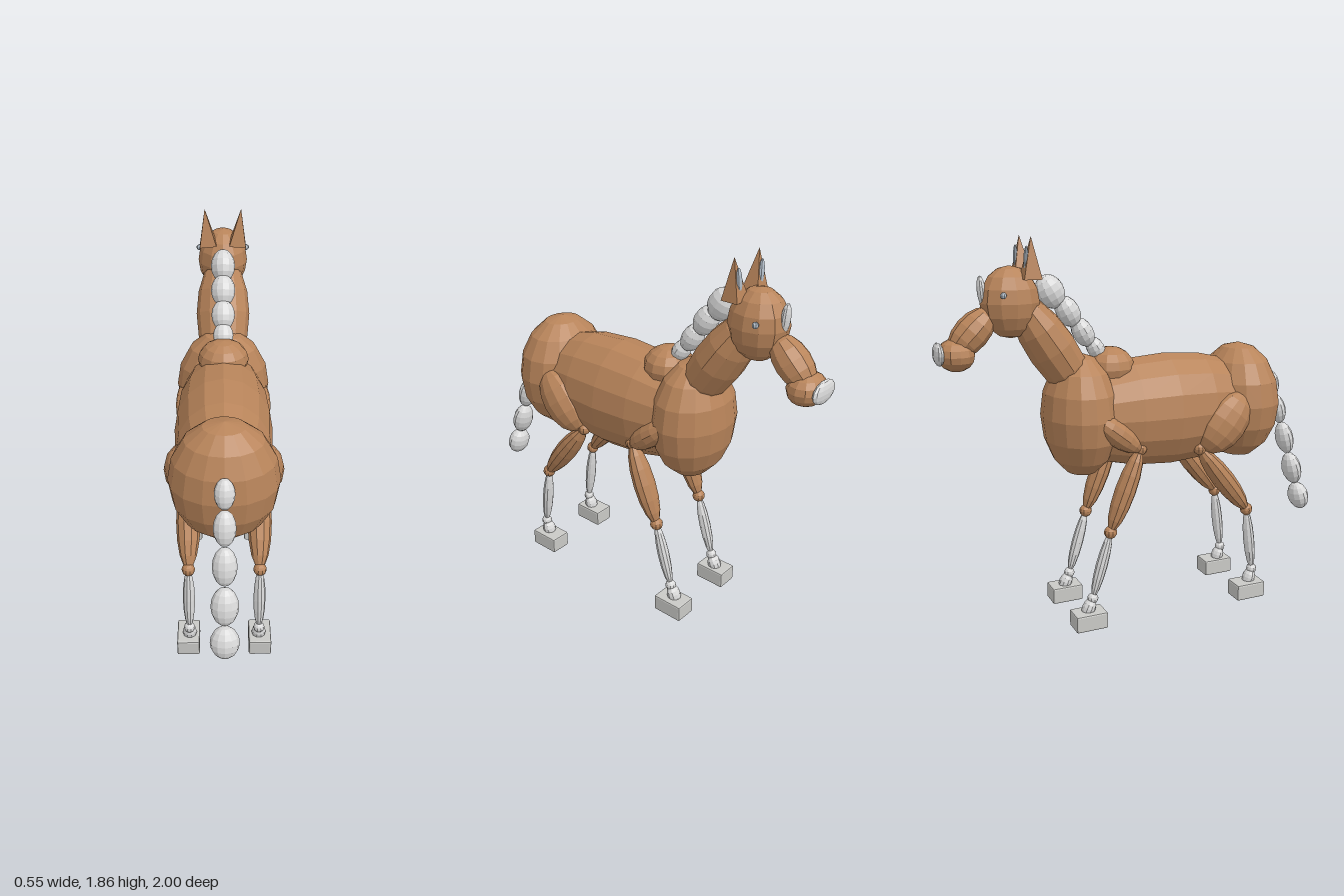
import * as THREE from 'three';
import { RoundedBoxGeometry } from 'three/addons/geometries/RoundedBoxGeometry.js';

const flat = (name, color) => {
  const m = new THREE.MeshStandardMaterial({ color, flatShading: true });
  m.name = name;
  return m;
};

export function createModel() {
  const coat = flat('coat brown', 0xb8845a);
  const hair = flat('pale hair', 0xd9d9d9);
  const hoofGrey = flat('hoof grey', 0xc9c9c6);
  const accent = flat('blue grey', 0xb4bfca);
  const horse = new THREE.Group();
  horse.name = 'horse';

  // Faceted ellipsoid: centre, radii, tilt about x
  function ellipsoid(name, mat, c, r, tilt = 0, w = 12, h = 8, parent = horse) {
    const mesh = new THREE.Mesh(new THREE.SphereGeometry(1, w, h), mat);
    mesh.name = name;
    mesh.position.set(...c);
    mesh.scale.set(...r);
    mesh.rotation.x = tilt;
    parent.add(mesh);
    return mesh;
  }

  // Ellipsoid stretched between two [y, z] points in the plane at x
  function segment(name, mat, x, a, b, rx, rz, parent = horse, w = 10) {
    const dy = b[0] - a[0], dz = b[1] - a[1];
    return ellipsoid(name, mat, [x, (a[0] + b[0]) / 2, (a[1] + b[1]) / 2],
      [rx, Math.hypot(dy, dz) / 2, rz], Math.atan2(dz, dy), w, 8, parent);
  }

  // Torso
  ellipsoid('barrel', coat, [0, 1.01, 0.12], [0.235, 0.62, 0.28], Math.PI / 2, 16, 10);
  ellipsoid('rump', coat, [0, 1.02, 0.54], [0.25, 0.298, 0.203], 0, 16);
  ellipsoid('chest', coat, [0, 1.02, -0.32], [0.235, 0.3, 0.185], 0, 16);
  ellipsoid('withers', coat, [0, 1.24, -0.165], [0.125, 0.1, 0.12]);

  // Neck and head
  segment('neck', coat, 0, [1.1, -0.29], [1.6, -0.62], 0.135, 0.115, horse, 12);
  ellipsoid('head', coat, [0, 1.57, -0.645], [0.125, 0.163, 0.139]);
  segment('muzzle', coat, 0, [1.54, -0.73], [1.345, -0.92], 0.087, 0.078);
  ellipsoid('nose', coat, [0, 1.347, -0.9], [0.1, 0.075, 0.085]);
  ellipsoid('noseTip', hair, [0, 1.355, -0.978], [0.085, 0.052, 0.022]);
  ellipsoid('blaze', hair, [0, 1.622, -0.773], [0.026, 0.07, 0.02], -0.08);

  // Eyes and ears
  for (const s of [-1, 1]) {
    ellipsoid('eye', accent, [s * 0.122, 1.612, -0.707], [0.015, 0.015, 0.015], 0, 8, 6);
    const ear = new THREE.Group();
    ear.name = 'ear';
    ear.position.set(s * 0.082, 1.77, -0.567);
    ear.rotation.z = -s * 0.09;
    const cone = new THREE.Mesh(new THREE.ConeGeometry(0.059, 0.185, 4, 1, false, Math.PI / 4), coat);
    cone.name = 'earShell';
    ear.add(cone);
    ellipsoid('innerEar', accent, [0, -0.005, -0.023], [0.017, 0.056, 0.01], 0.05, 8, 8, ear);
    horse.add(ear);
  }

  // Mane: [y, z, width, length, depth]
  for (const [y, z, rx, ry, rz] of [
    [1.61, -0.455, 0.06, 0.082, 0.068], [1.515, -0.372, 0.06, 0.078, 0.056],
    [1.415, -0.3, 0.058, 0.075, 0.05], [1.335, -0.237, 0.05, 0.06, 0.042],
  ]) ellipsoid('maneTuft', hair, [0, y, z], [rx, ry, rz], -0.5);

  // Tail: [y, z, width, length, depth]
  for (const [y, z, rx, ry, rz] of [
    [1.09, 0.745, 0.045, 0.07, 0.04], [0.945, 0.79, 0.05, 0.082, 0.042],
    [0.78, 0.842, 0.055, 0.09, 0.046], [0.603, 0.896, 0.062, 0.09, 0.049],
    [0.44, 0.947, 0.066, 0.077, 0.052],
  ]) ellipsoid('tailTuft', hair, [0, y, z], [rx, ry, rz], -0.27);

  // Leg from [y, z] joints down to the hoof
  function leg(name, s, top, knee, ankle, toe, hoofZ, thick) {
    const g = new THREE.Group();
    g.name = name;
    const x = s * 0.17;
    const joint = (n, mat, p, r) => ellipsoid(n, mat, [x, ...p], [r, r, r], 0, 10, 8, g);
    joint('upperJoint', coat, top, 0.032);
    segment('upperLeg', coat, x, top, knee, 0.058, thick, g);
    joint('knee', coat, knee, 0.032);
    segment('lowerLeg', hair, x, knee, ankle, 0.029, 0.029, g);
    joint('fetlock', hair, ankle, 0.027);
    segment('pastern', hair, x, [ankle[0], ankle[1]], toe, 0.035, 0.033, g);
    const hoof = new THREE.Mesh(new RoundedBoxGeometry(0.11, 0.083, 0.16, 1, 0.008), hoofGrey);
    hoof.name = 'hoof';
    hoof.position.set(s * 0.176, 0.0415, hoofZ);
    g.add(hoof);
    horse.add(g);
  }
  for (const s of [-1, 1]) {
    segment('thigh', coat, s * 0.185, [1.085, 0.475], [0.82, 0.26], 0.092, 0.115, horse, 12);
    leg('hindLeg', s, [0.83, 0.24], [0.477, 0.515], [0.142, 0.557], [0.05, 0.525], 0.525, 0.055);
    segment('shoulder', coat, s * 0.175, [0.86, -0.085], [1.05, -0.325], 0.068, 0.06, horse, 12);
    leg('foreLeg', s, [0.865, -0.08], [0.467, -0.237], [0.142, -0.333], [0.05, -0.375], -0.357, 0.05);
  }
  return horse;
}
